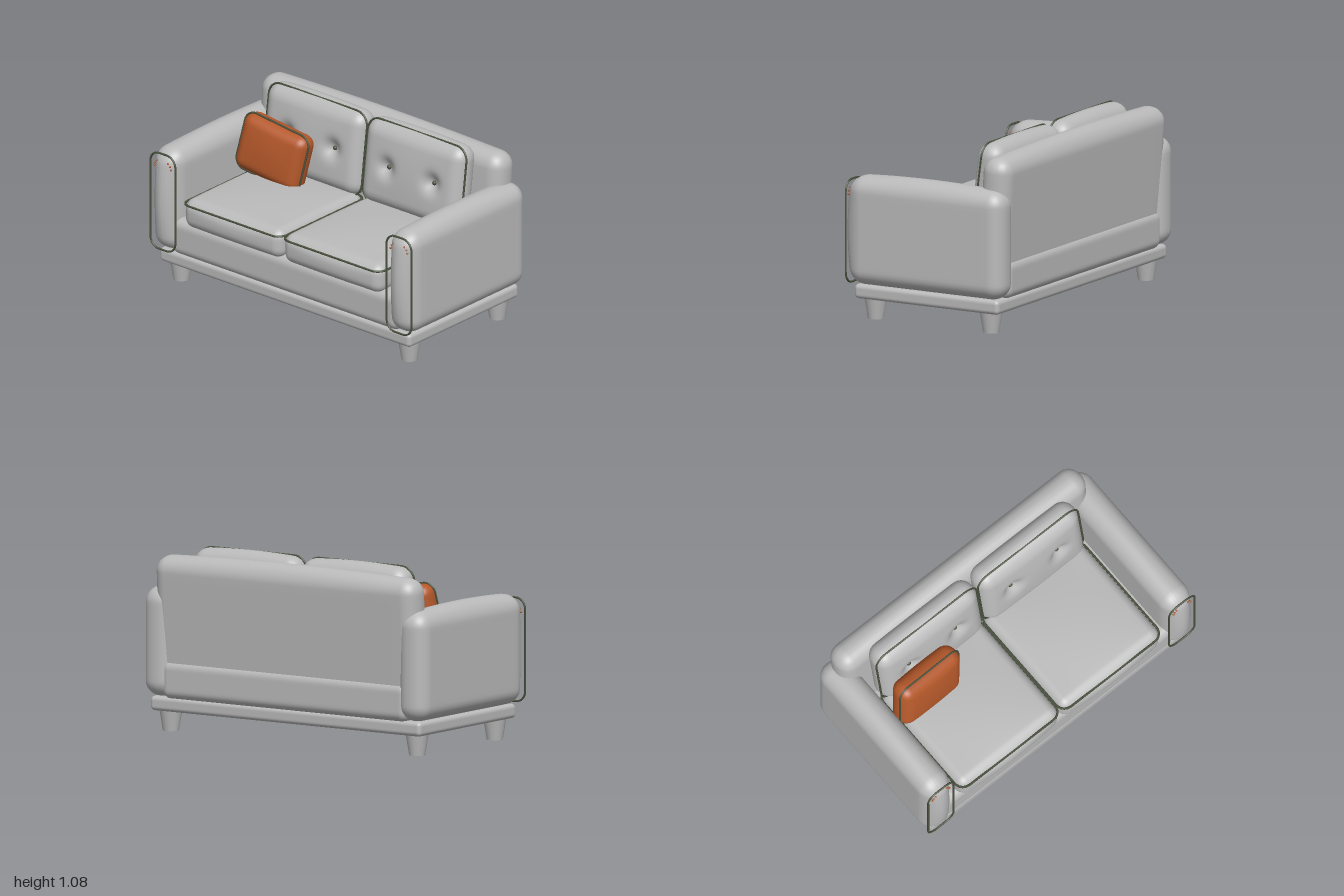
import * as THREE from 'three';
import { mergeVertices } from 'three/addons/utils/BufferGeometryUtils.js';

const mat = (name, color) => {
  const m = new THREE.MeshStandardMaterial({ color });
  m.name = name;
  return m;
};

// Rounded box whose faces swell outwards by `crown` (px, nx, py, ny, pz, nz),
// with optional dimples [x, y, depth, radius] pressed into the +z face.
function puffyBox(w, h, d, r, crown = {}, segs = [20, 20, 20], dimples = []) {
  const half = [w / 2, h / 2, d / 2];
  let g = new THREE.BoxGeometry(2, 2, 2, ...segs);
  g.deleteAttribute('uv');
  g.deleteAttribute('normal');
  const pos = g.attributes.position;
  const corner = 5;
  const names = [['px', 'nx'], ['py', 'ny'], ['pz', 'nz']];
  for (let i = 0; i < pos.count; i++) {
    const t = [pos.getX(i), pos.getY(i), pos.getZ(i)];
    // Spread grid lines so the rounded edges receive enough of them
    const p = t.map((v, a) => {
      const s = Math.sign(v), steps = (1 - Math.abs(v)) * segs[a] / 2;
      const flat = half[a] - r;
      const x = steps < corner ? half[a] - r * steps / corner
        : flat * (1 - (steps - corner) / (segs[a] / 2 - corner || 1));
      return s * x;
    });
    const core = p.map((v, a) => THREE.MathUtils.clamp(v, r - half[a], half[a] - r));
    const out = new THREE.Vector3(...p.map((v, a) => v - core[a])).normalize().multiplyScalar(r);
    const q = [core[0] + out.x, core[1] + out.y, core[2] + out.z];
    const u = q.map((v, a) => v / half[a]);
    const res = q.map((v, a) => {
      const b = (a + 1) % 3, c = (a + 2) % 3;
      const amount = crown[names[a][u[a] > 0 ? 0 : 1]] || 0;
      return v + amount * u[a] * (1 - u[b] ** 2) * (1 - u[c] ** 2);
    });
    if (u[2] > 0) {
      for (const [x, y, depth, rad] of dimples) {
        const k = ((res[0] - x) ** 2 + (res[1] - y) ** 2) / rad ** 2;
        res[2] -= u[2] * depth * Math.exp(-k);
      }
    }
    pos.setXYZ(i, ...res);
  }
  g = mergeVertices(g, 1e-5);
  g.computeVertexNormals();
  return g;
}

// Closed cord following a rounded rectangle in the XY plane
function cordLoop(w, h, r, thickness = 0.006) {
  const x = w / 2, y = h / 2, s = new THREE.Shape();
  s.moveTo(-x + r, -y);
  s.lineTo(x - r, -y);
  s.absarc(x - r, -y + r, r, -Math.PI / 2, 0);
  s.lineTo(x, y - r);
  s.absarc(x - r, y - r, r, 0, Math.PI / 2);
  s.lineTo(-x + r, y);
  s.absarc(-x + r, y - r, r, Math.PI / 2, Math.PI);
  s.lineTo(-x, -y + r);
  s.absarc(-x + r, -y + r, r, Math.PI, Math.PI * 1.5);
  const pts = s.getSpacedPoints(90).slice(0, -1).map(p => new THREE.Vector3(p.x, p.y, 0));
  return new THREE.TubeGeometry(new THREE.CatmullRomCurve3(pts, true), 140, thickness, 6, true);
}

export function createModel() {
  const fabric = mat('greyFabric', 0xbababa);
  const rust = mat('rustFabric', 0xb4582a);
  const trim = mat('darkGreenTrim', 0x4a523e);
  const root = new THREE.Group();
  root.name = 'sofa';

  const add = (parent, name, geo, material, x = 0, y = 0, z = 0) => {
    const m = new THREE.Mesh(geo, material);
    m.name = name;
    m.position.set(x, y, z);
    parent.add(m);
    return m;
  };
  const group = (name, x, y, z) => {
    const g = new THREE.Group();
    g.name = name;
    g.position.set(x, y, z);
    root.add(g);
    return g;
  };

  // Legs
  const legGeo = new THREE.CylinderGeometry(0.068, 0.047, 0.13, 18);
  for (const x of [-0.87, 0.87])
    for (const z of [0.375, -0.4]) add(root, 'leg', legGeo, fabric, x, 0.065, z);

  // Plinth, seat base and tilted backrest
  add(root, 'plinth', puffyBox(1.91, 0.085, 0.97, 0.025), fabric, 0, 0.1625, -0.01);
  add(root, 'seatBase', puffyBox(1.74, 0.23, 1.0, 0.055), fabric, 0, 0.31, -0.015);
  const back = add(root, 'backrest',
    puffyBox(1.84, 0.73, 0.19, 0.088, { py: 0.02 }, [36, 24, 16]), fabric, 0, 0.662, -0.42);
  back.rotation.x = -0.06;

  const armGeo = puffyBox(0.198, 0.635, 1.03, 0.09, { py: 0.02, pz: 0.035 }, [18, 26, 30]);
  const armCord = cordLoop(0.19, 0.605, 0.065);
  const nailGeo = new THREE.SphereGeometry(0.006, 8, 6);
  const seatGeo = puffyBox(0.745, 0.18, 0.755, 0.06, { py: 0.025, pz: 0.025 }, [30, 16, 30]);
  const seatCord = cordLoop(0.75, 0.765, 0.06, 0.007);
  const tufts = [-0.172, 0.172];
  const backGeo = puffyBox(0.745, 0.51, 0.17, 0.08, { py: 0.015, pz: 0.02, nz: 0.01 },
    [60, 46, 14], tufts.map(x => [x, 0, 0.045, 0.055]));
  const backCord = cordLoop(0.748, 0.513, 0.08);
  const buttonGeo = new THREE.SphereGeometry(0.014, 14, 10);

  for (const side of [-1, 1]) {
    // Arm with front cord and two short arcs of nail heads
    const arm = group(side > 0 ? 'leftArm' : 'rightArm', side * 0.9, 0, 0);
    add(arm, 'armBody', armGeo, fabric, 0, 0.5225, -0.015);
    add(arm, 'armCord', armCord, trim, 0, 0.515, 0.502);
    for (const deg of [5, 28, 50, 130, 152, 175]) {
      const a = THREE.MathUtils.degToRad(deg);
      add(arm, 'nailHead', nailGeo, rust, Math.cos(a) * 0.064, 0.73 + Math.sin(a) * 0.05, 0.503);
    }

    // Seat cushion
    const seat = group('seatCushion', side * 0.379, 0.49, 0.1275);
    add(seat, 'cushion', seatGeo, fabric);
    add(seat, 'cushionCord', seatCord, trim, 0, 0.06, 0).rotation.x = -Math.PI / 2;

    // Buttoned back cushion
    const cushion = group('backCushion', side * 0.379, 0.81, -0.275);
    cushion.rotation.x = -0.13;
    add(cushion, 'cushion', backGeo, fabric);
    add(cushion, 'cushionCord', backCord, trim, 0, 0, 0.036);
    for (const x of tufts) add(cushion, 'button', buttonGeo, trim, x, 0, 0.06);
  }

  // Throw pillow leaning on the right-hand back cushion
  const pillow = group('throwPillow', -0.54, 0.747, -0.07);
  pillow.rotation.set(-0.16, 0.08, -0.14);
  add(pillow, 'pillowBody', puffyBox(0.46, 0.35, 0.145, 0.065, { pz: 0.018, nz: 0.018 }), rust);
  add(pillow, 'pillowCord', cordLoop(0.463, 0.353, 0.065), trim, 0, 0, 0.025);

  return root;
}
